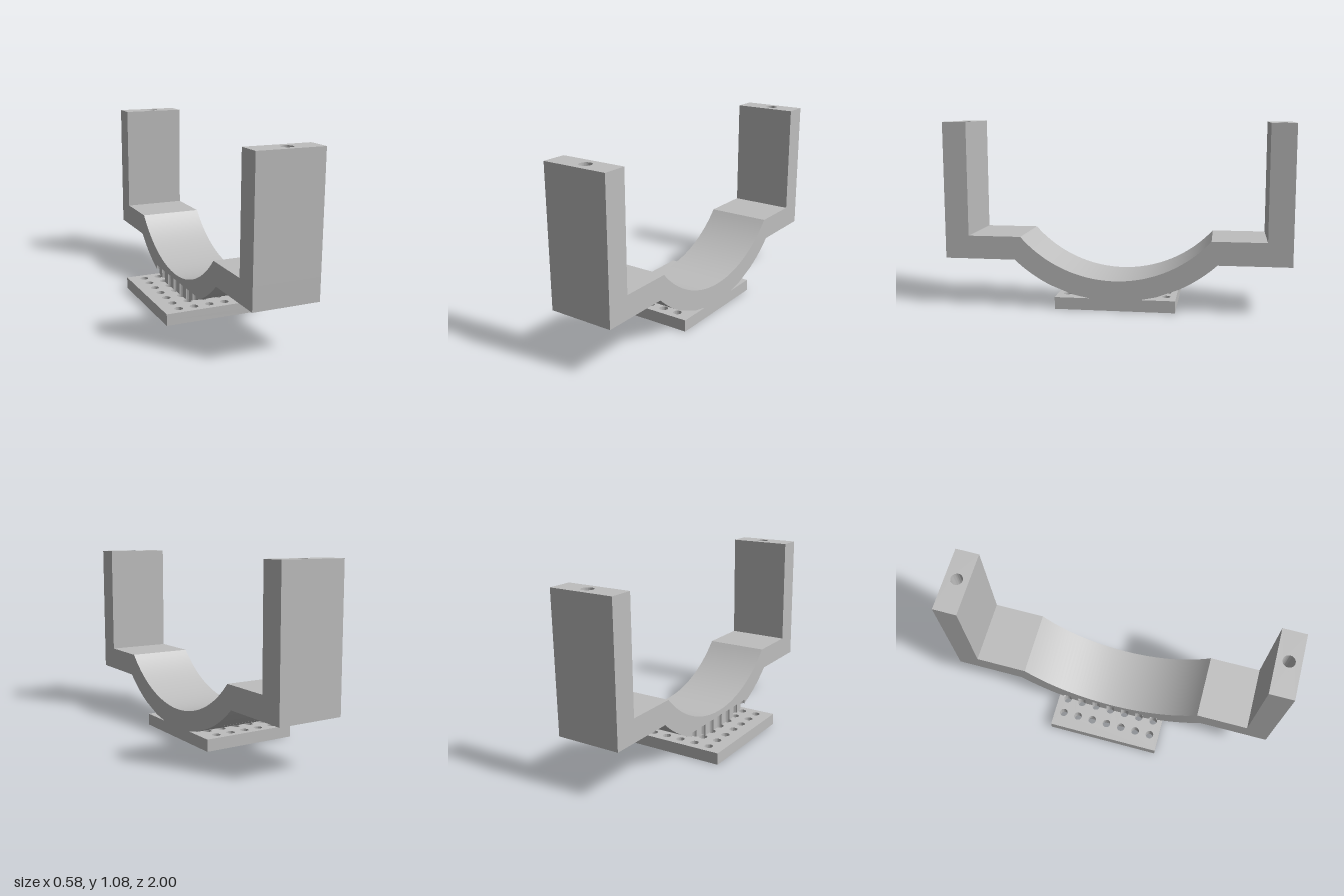
import * as THREE from 'three';
import { toCreasedNormals } from 'three/addons/utils/BufferGeometryUtils.js';

const X0 = -0.097, X1 = 0.29;               // cradle width
const CY = 0.915, R_IN = 0.74, R_OUT = 0.86; // cradle arc
const PITCH = 0.097, HOLE_R = 0.025;
const PLATE_TOP = 0.07, HOLE_TOP = 0.14;

const grey = new THREE.MeshStandardMaterial({ color: 0xbebebe });
grey.name = 'grey';

const arcY = (r, z) => CY - Math.sqrt(r * r - z * z);

function rect(x0, z0, x1, z1) {
  const s = new THREE.Shape();
  s.moveTo(x0, z0).lineTo(x1, z0).lineTo(x1, z1).lineTo(x0, z1).closePath();
  return s;
}

function addHole(shape, x, z, r) {
  const p = new THREE.Path();
  p.absarc(x, z, r, 0, Math.PI * 2, true);
  shape.holes.push(p);
}

// Extrude a plan outline upwards from y0 to y1
function rise(shape, y0, y1) {
  const g = new THREE.ExtrudeGeometry(shape, { depth: y1 - y0, bevelEnabled: false, curveSegments: 24 });
  return g.rotateX(-Math.PI / 2).translate(0, y0, 0);
}

function part(name, geometry) {
  const m = new THREE.Mesh(toCreasedNormals(geometry, 0.5), grey);
  m.name = name;
  return m;
}

// Perforated plate layer; the lower layer also has two long grooves
function plateLayer(grooved) {
  const s = rect(-0.29, -0.35, 0.29, 0.35);
  for (let i = -2; i <= 2; i++) {
    for (let j = -3; j <= 3; j++) {
      if (grooved && Math.abs(i) === 2 && Math.abs(j) < 2) continue;
      addHole(s, i * PITCH, j * PITCH, HOLE_R);
    }
  }
  if (grooved) {
    for (const x of [-2 * PITCH, 2 * PITCH]) {
      const p = new THREE.Path();
      p.absarc(x, 0.13, HOLE_R, 0, Math.PI, false);
      p.absarc(x, -0.13, HOLE_R, Math.PI, Math.PI * 2, false);
      p.closePath();
      s.holes.push(p);
    }
  }
  return s;
}

// Side profile of the saddle: curved strip with flat shoulders
function saddleGeometry() {
  const s = new THREE.Shape();
  const pts = [];
  const zFlat = Math.sqrt(R_OUT ** 2 - (CY - HOLE_TOP) ** 2);
  const n = 48;
  for (let i = 0; i <= 16; i++) {
    const z = -0.585 + (0.585 - zFlat) * i / 16;
    pts.push([z, arcY(R_OUT, z)]);
  }
  for (let i = 0; i <= 16; i++) {
    const z = zFlat + (0.585 - zFlat) * i / 16;
    pts.push([z, arcY(R_OUT, z)]);
  }
  pts.push([0.86, 0.285], [0.86, 0.42]);
  for (let i = 0; i <= n; i++) {
    const z = 0.55 - 1.1 * i / n;
    pts.push([z, arcY(R_IN, z)]);
  }
  pts.push([-0.86, 0.42], [-0.86, 0.285]);
  s.setFromPoints(pts.map(([z, y]) => new THREE.Vector2(z, y)));
  const g = new THREE.ExtrudeGeometry(s, { depth: X1 - X0, bevelEnabled: false });
  return g.rotateY(Math.PI / 2).translate(X0, 0, 0);
}

// Drilled underside of the saddle, one strip for each row of holes
function undersideStrip(row) {
  const edge = k => (Math.abs(k) > 3 ? Math.sign(k) * 0.372 : k * PITCH);
  const z0 = edge(row - 0.5), z1 = edge(row + 0.5), zc = row * PITCH;
  const s = new THREE.Shape();
  s.moveTo(X0, z0).lineTo(X1, z0).lineTo(X1, z1).lineTo(X0, z1);
  s.absarc(X0, zc, HOLE_R, Math.PI / 2, -Math.PI / 2, true);
  s.closePath();
  for (let i = 0; i <= 2; i++) addHole(s, i * PITCH, zc, HOLE_R);
  const g = rise(s, 0, 1);
  const p = g.attributes.position;
  for (let i = 0; i < p.count; i++) {
    const low = Math.min(HOLE_TOP, Math.max(PLATE_TOP, arcY(R_OUT, p.getZ(i))));
    p.setY(i, p.getY(i) < 0.5 ? low : HOLE_TOP);
  }
  return g;
}

export function createModel() {
  const model = new THREE.Group();
  model.name = 'cradleBracket';

  // Mounting plate
  model.add(part('plateLower', rise(plateLayer(true), 0, 0.035)));
  model.add(part('plateUpper', rise(plateLayer(false), 0.035, PLATE_TOP)));

  // Saddle
  model.add(part('saddle', saddleGeometry()));
  for (let row = -3; row <= 3; row++) model.add(part('saddleUnderside', undersideStrip(row)));

  // Upright posts with a bolt hole, widened at the foot
  for (const side of [-1, 1]) {
    const post = new THREE.Group();
    post.name = side > 0 ? 'frontPost' : 'backPost';
    for (const [name, r, y0, y1] of [['postFoot', 0.065, 0.285, 0.42], ['postShaft', 0.035, 0.42, 1.08]]) {
      const zc = -side * 0.93;
      const s = rect(X0, zc - 0.07, X1, zc + 0.07);
      addHole(s, 0.11, zc, r);
      post.add(part(name, rise(s, y0, y1)));
    }
    model.add(post);
  }
  return model;
}
